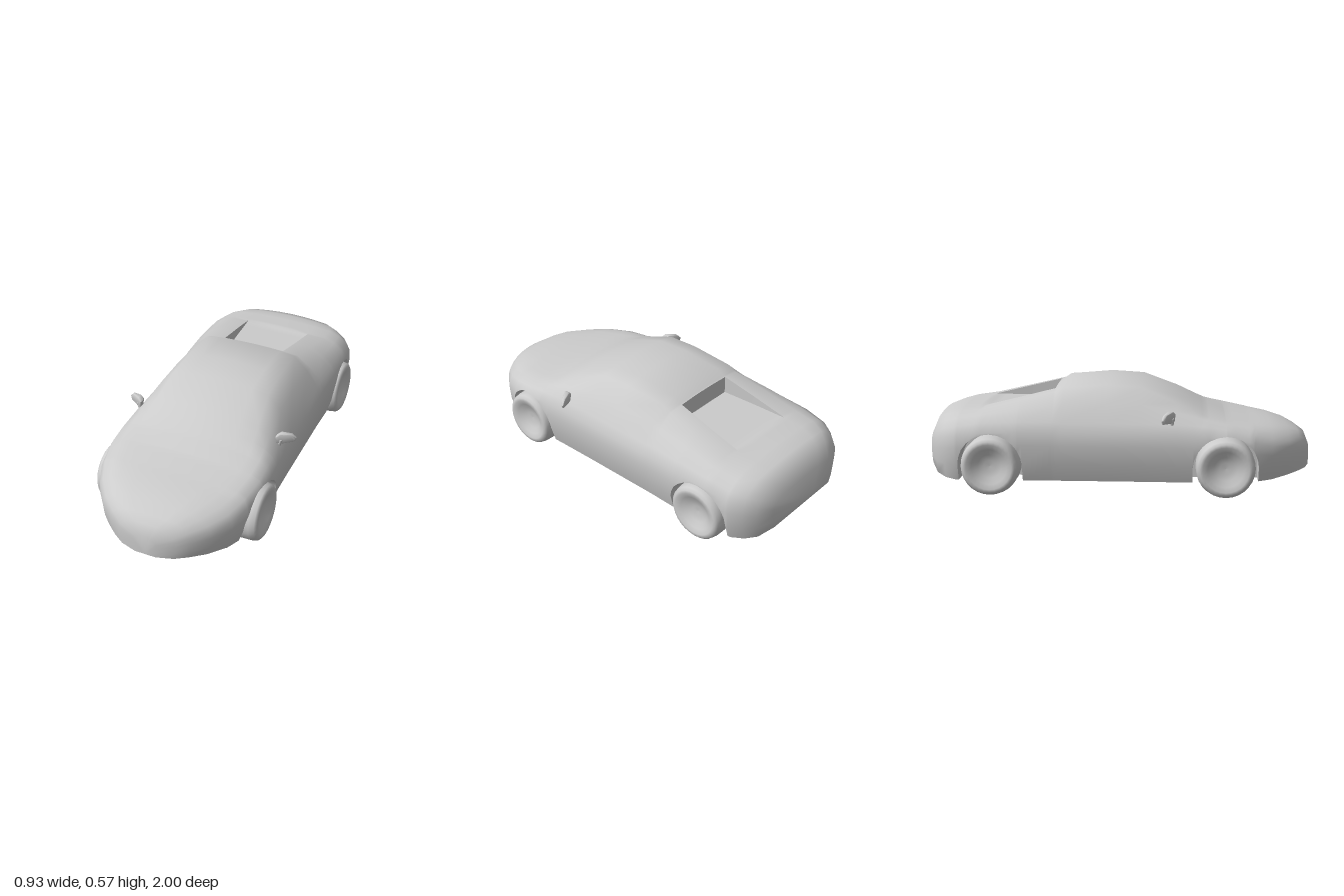
import * as THREE from 'three';
import { toCreasedNormals } from 'three/addons/utils/BufferGeometryUtils.js';

const material = new THREE.MeshStandardMaterial({ color: 0xcccccc, side: THREE.DoubleSide });
const AXLES = [0.545, -0.64], WHEEL_R = 0.15, ARCH_R = 0.165, WELL_X = 0.28;
const POCKET_FRONT = -0.33, POCKET_BACK = -0.7, POCKET_FLOOR = 0.42;

// Body stations: z, half width, underside y, centre top y, roof edge x, roof edge y, belt y
const STATIONS = [
  [0.995, 0.06, 0.10, 0.21, 0.03, 0.207, 0.19],
  [0.97, 0.15, 0.10, 0.27, 0.08, 0.262, 0.225],
  [0.93, 0.215, 0.098, 0.295, 0.13, 0.288, 0.25],
  [0.87, 0.29, 0.093, 0.325, 0.18, 0.315, 0.27],
  [0.78, 0.36, 0.082, 0.348, 0.235, 0.335, 0.29],
  [0.68, 0.405, 0.076, 0.362, 0.27, 0.35, 0.32],
  [0.55, 0.43, 0.075, 0.385, 0.29, 0.372, 0.345],
  [0.45, 0.43, 0.075, 0.42, 0.30, 0.395, 0.36],
  [0.30, 0.427, 0.075, 0.497, 0.285, 0.46, 0.37],
  [0.12, 0.425, 0.075, 0.56, 0.265, 0.535, 0.37],
  [-0.05, 0.425, 0.075, 0.572, 0.26, 0.545, 0.37],
  [-0.28, 0.425, 0.075, 0.55, 0.255, 0.53, 0.37],
  [-0.32, 0.425, 0.075, 0.52, 0.255, 0.508, 0.375],
  [-0.50, 0.43, 0.075, 0.475, 0.27, 0.465, 0.375],
  [-0.70, 0.425, 0.073, 0.425, 0.28, 0.418, 0.365],
  [-0.82, 0.41, 0.07, 0.415, 0.28, 0.40, 0.345],
  [-0.88, 0.375, 0.075, 0.402, 0.255, 0.387, 0.33],
  [-0.93, 0.33, 0.09, 0.385, 0.22, 0.368, 0.31],
  [-0.97, 0.25, 0.125, 0.30, 0.17, 0.293, 0.265],
  [-1.0, 0.08, 0.18, 0.22, 0.05, 0.218, 0.21],
];
// Side wall: [height fraction from underside to belt, width fraction]
const SIDE = [[0, 0.92], [0.3, 0.98], [0.62, 1], [0.84, 0.985], [1, 0.93]];

function stationAt(z) {
  let i = 0;
  while (i < STATIONS.length - 2 && z < STATIONS[i + 1][0]) i++;
  const a = STATIONS[i], b = STATIONS[i + 1];
  const t = (z - a[0]) / (b[0] - a[0]);
  return a.map((v, k) => v + (b[k] - v) * t);
}

function archHeight(z) {
  const d = Math.min(...AXLES.map((c) => Math.abs(z - c)));
  return d < ARCH_R ? WHEEL_R + Math.sqrt(ARCH_R ** 2 - d ** 2) : 0;
}

function sideFraction(f) {
  let i = 0;
  while (i < SIDE.length - 2 && f > SIDE[i + 1][0]) i++;
  const [a, b] = [SIDE[i], SIDE[i + 1]];
  return a[1] + ((b[1] - a[1]) * (f - a[0])) / (b[0] - a[0]);
}

// Closed outline at one z, with wheel wells and rear deck pocket included
function crossSection(z) {
  const [, w, yb, top, rx, ry, by] = stationAt(z);
  const wellX = Math.min(WELL_X, w * 0.8);
  const sill = Math.max(yb, archHeight(z));
  const half = [[0, yb], [wellX, yb], [wellX, sill]];
  for (const [f] of SIDE) {
    const y = Math.max(yb + f * (by - yb), Math.min(sill, by));
    half.push([w * sideFraction((y - yb) / (by - yb)), y]);
  }
  const bx = w * 0.93;
  half.push([(bx + rx) / 2 + w * 0.015, (by + ry) / 2 + w * 0.015], [rx, ry]);
  const roof = (x) => top - (top - ry) * (x / rx) ** 2;
  const inPocket = z < POCKET_FRONT && z > POCKET_BACK;
  const deck = (x) => (inPocket ? Math.min(POCKET_FLOOR, roof(x)) : roof(x));
  const px = rx * 0.67;
  half.push([px, roof(px)], [px, deck(px)], [px / 2, deck(px / 2)], [0, deck(0)]);
  const mirrored = half.slice(1, -1).reverse().map(([x, y]) => [-x, y]);
  return [...half, ...mirrored].map(([x, y]) => new THREE.Vector3(x, y, z));
}

function bodyGeometry() {
  const zs = STATIONS.map((s) => s[0]);
  for (const c of AXLES) {
    zs.push(c - ARCH_R * 1.001, c + ARCH_R * 1.001);
    for (let i = 0; i <= 12; i++) zs.push(c + ARCH_R * 0.999 * Math.cos((i * Math.PI) / 12));
  }
  zs.push(POCKET_FRONT + 0.0005, POCKET_FRONT - 0.0005);
  zs.sort((a, b) => b - a);
  const rings = zs.map(crossSection);
  const n = rings[0].length, pos = [];
  const e1 = new THREE.Vector3(), e2 = new THREE.Vector3();
  const tri = (a, b, c) => {
    const area = e1.subVectors(b, a).cross(e2.subVectors(c, a)).length();
    if (area > 1e-9) for (const p of [a, b, c]) pos.push(p.x, p.y, p.z);
  };
  for (let i = 0; i < rings.length - 1; i++) {
    for (let j = 0; j < n; j++) {
      const k = (j + 1) % n, r = rings[i], s = rings[i + 1];
      tri(r[j], s[j], s[k]);
      tri(r[j], s[k], r[k]);
    }
  }
  const front = rings[0], back = rings[rings.length - 1];
  for (let j = 1; j < n - 1; j++) {
    tri(front[0], front[j], front[j + 1]);
    tri(back[0], back[j + 1], back[j]);
  }
  const geometry = new THREE.BufferGeometry();
  geometry.setAttribute('position', new THREE.Float32BufferAttribute(pos, 3));
  return toCreasedNormals(geometry, 1.0);
}

// Wheel with rounded tyre and dished face, axle along x
function wheelGeometry() {
  const profile = [
    [0, 0.285], [0.13, 0.285], [0.143, 0.291], [0.149, 0.31], [0.15, 0.35], [0.149, 0.4],
    [0.143, 0.428], [0.13, 0.439], [0.115, 0.44], [0.09, 0.43], [0.06, 0.413], [0.03, 0.406], [0, 0.404],
  ].map(([r, x]) => new THREE.Vector2(r, x));
  return new THREE.LatheGeometry(profile, 28).rotateZ(-Math.PI / 2);
}

// Door mirror: a pod swept back and thinned towards its tip
function mirrorGeometry(side) {
  const outline = [[0.385, 0.387], [0.41, 0.382], [0.455, 0.387], [0.46, 0.4], [0.442, 0.421], [0.395, 0.43], [0.38, 0.418]];
  const shape = new THREE.Shape(outline.map(([x, y]) => new THREE.Vector2(side * x, y)));
  const geometry = new THREE.ExtrudeGeometry(shape, {
    depth: 0.02, bevelThickness: 0.01, bevelSize: 0.005, bevelOffset: 0, bevelSegments: 3,
  });
  const p = geometry.attributes.position;
  for (let i = 0; i < p.count; i++) {
    const t = (Math.abs(p.getX(i)) - 0.375) / 0.09;
    p.setZ(i, 0.275 - 0.045 * t + (p.getZ(i) - 0.01) * (1 - 0.6 * t));
  }
  return toCreasedNormals(geometry, 1.0);
}

export function createModel() {
  const car = new THREE.Group();
  car.name = 'car';
  const add = (name, geometry) => {
    const mesh = new THREE.Mesh(geometry, material);
    mesh.name = name;
    car.add(mesh);
    return mesh;
  };

  add('body', bodyGeometry());

  const wheel = wheelGeometry();
  for (const [side, label] of [[1, 'left'], [-1, 'right']]) {
    AXLES.forEach((z, i) => {
      const mesh = add(`${label}${i ? 'Rear' : 'Front'}Wheel`, wheel);
      mesh.position.set(0, WHEEL_R, z);
      mesh.rotation.y = side > 0 ? 0 : Math.PI;
    });
    add(`${label}Mirror`, mirrorGeometry(side));
    const stalk = add(`${label}MirrorStalk`, new THREE.CylinderGeometry(0.009, 0.012, 0.05, 8));
    stalk.position.set(side * 0.392, 0.377, 0.275);
    stalk.rotation.z = -side * 0.3;
  }
  return car;
}
